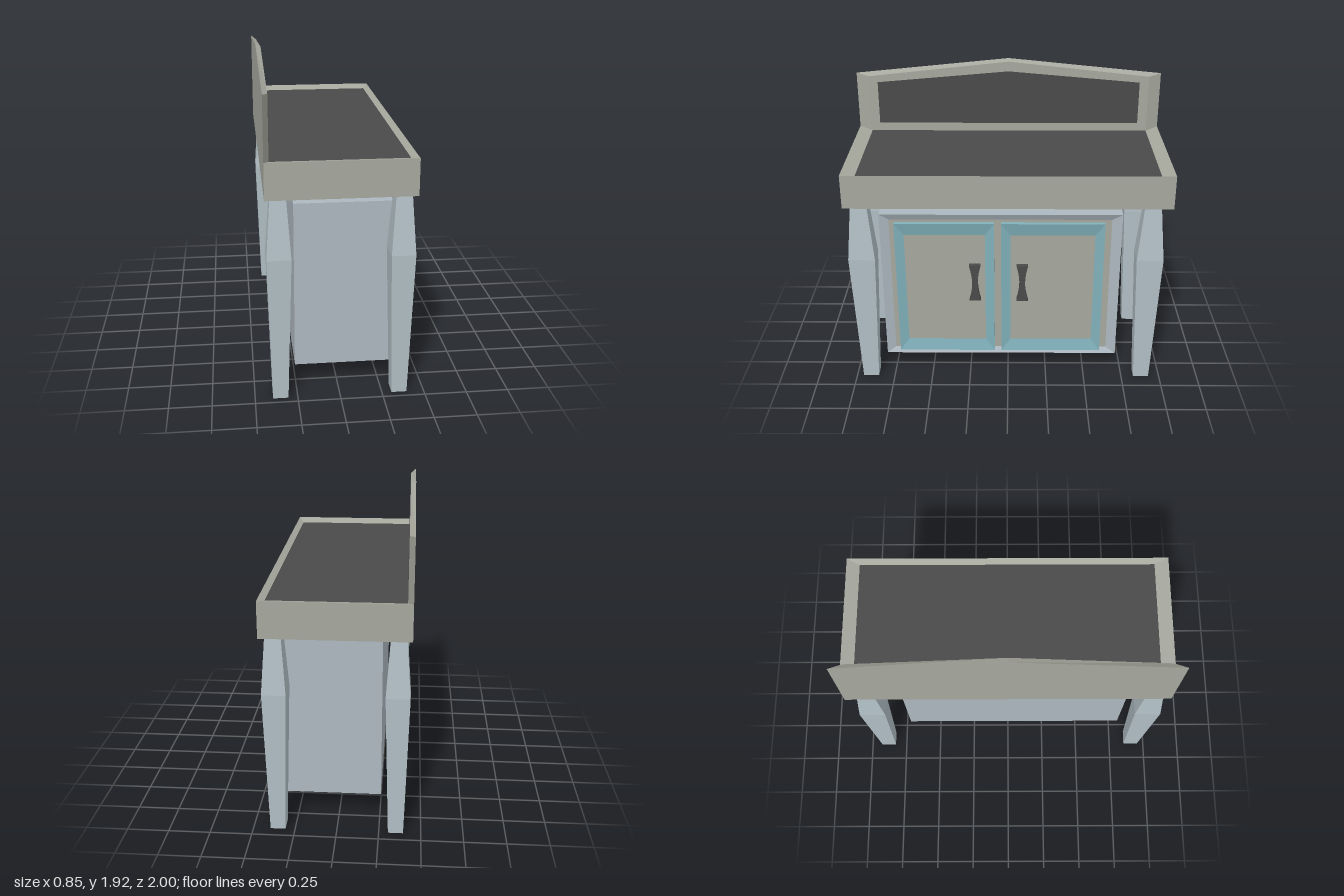
import * as THREE from 'three';

function mat(name, color) {
  const m = new THREE.MeshStandardMaterial({ color });
  m.name = name;
  return m;
}

// Rectangle as a counter-clockwise ring at depth w
const rect = (u0, u1, v0, v1, w) => [[u0, v0, w], [u1, v0, w], [u1, v1, w], [u0, v1, w]];

// Gabled outline as a counter-clockwise ring at depth w
const gable = (half, bottom, eave, peak, w) =>
  [[-half, bottom, w], [half, bottom, w], [half, eave, w], [0, peak, w], [-half, eave, w]];

// Skin between successive rings, with end caps; groups: 0 sides, 1 last cap, 2 first cap
function loft(rings) {
  const pos = [];
  const geo = new THREE.BufferGeometry();
  const tri = (a, b, c) => pos.push(...a, ...b, ...c);
  const cap = (r, flip) => {
    for (let i = 1; i < r.length - 1; i++) flip ? tri(r[0], r[i + 1], r[i]) : tri(r[0], r[i], r[i + 1]);
  };
  let start = 0;
  const close = (index) => {
    geo.addGroup(start, pos.length / 3 - start, index);
    start = pos.length / 3;
  };
  for (let k = 0; k < rings.length - 1; k++) {
    const a = rings[k], b = rings[k + 1];
    for (let i = 0; i < a.length; i++) {
      const j = (i + 1) % a.length;
      tri(a[i], a[j], b[j]);
      tri(a[i], b[j], b[i]);
    }
  }
  close(0);
  cap(rings[rings.length - 1], false);
  close(1);
  cap(rings[0], true);
  close(2);
  geo.setAttribute('position', new THREE.Float32BufferAttribute(pos, 3));
  geo.computeVertexNormals();
  return geo;
}

// Local depth axis turned to +x (u becomes -z) or to +y (v becomes -z)
const faceX = (g) => g.rotateY(Math.PI / 2);
const faceUp = (g) => g.rotateX(-Math.PI / 2);

export function createModel() {
  const model = new THREE.Group();
  model.name = 'washstand';

  const stone = mat('stone beige', 0xa6a79d);
  const dark = mat('charcoal', 0x4a4a4a);
  const under = mat('underside olive grey', 0x4c4d46);
  const legBlue = mat('pale blue grey', 0xb2c0c6);
  const bodyBlue = mat('cabinet blue grey', 0xadb8c0);
  const teal = mat('teal', 0x80b0ba);

  const add = (name, geo, material, parent = model) => {
    const m = new THREE.Mesh(geo, material);
    m.name = name;
    parent.add(m);
    return m;
  };

  // Thick top with a shallow sunken dark surface
  add('tableTop', faceUp(loft([
    rect(-0.425, 0.425, -1, 1, 1.24),
    rect(-0.425, 0.425, -1, 1, 1.455),
    rect(-0.395, 0.39, -0.915, 0.92, 1.435),
  ])), [stone, dark, under]);

  // Gabled backboard with chamfered edges and a dark inlay
  add('backboard', faceX(loft([
    gable(1, 1.45, 1.825, 1.925, -0.425),
    gable(0.92, 1.435, 1.81, 1.91, -0.393),
  ])), stone);
  add('backboardInlay', faceX(loft([
    gable(0.86, 1.49, 1.77, 1.845, -0.395),
    gable(0.86, 1.49, 1.77, 1.845, -0.39),
  ])), dark);

  // Four square legs, widest above the middle
  const legRing = (hx, hz, y) => rect(-hx, hx, -hz, hz, y);
  const legGeo = faceUp(loft([
    legRing(0.045, 0.05, 0),
    legRing(0.07, 0.083, 0.885),
    legRing(0.045, 0.05, 1.245),
  ]));
  for (const [side, x] of [['Left', 0.352], ['Right', -0.35]]) {
    for (const [end, z] of [['front', 0.906], ['back', -0.88]]) {
      add(`${end}${side}Leg`, legGeo, legBlue).position.set(x, 0, z);
    }
  }

  // Cabinet body with a bevelled recess for the doors
  add('cabinet', faceX(loft([
    rect(-0.8, 0.71, 0.13, 1.15, -0.255),
    rect(-0.8, 0.71, 0.13, 1.15, 0.32),
    rect(-0.743, 0.647, 0.167, 1.108, 0.3),
  ])), [bodyBlue, stone, bodyBlue]);

  // Waisted handle outline
  const outline = new THREE.Shape();
  outline.moveTo(-0.037, -0.127);
  outline.lineTo(0.037, -0.127);
  outline.quadraticCurveTo(-0.001, 0, 0.037, 0.127);
  outline.lineTo(-0.037, 0.127);
  outline.quadraticCurveTo(0.001, 0, -0.037, -0.127);
  const handleGeo = faceX(new THREE.ExtrudeGeometry(outline, { depth: 0.035, bevelEnabled: false, curveSegments: 6 }));

  // Pair of doors: teal bevelled frame around a sunken panel, plus a handle
  const doors = [
    { name: 'nearDoor', u0: -0.71, u1: -0.087, handleZ: 0.21 },
    { name: 'farDoor', u0: -0.043, u1: 0.604, handleZ: -0.091 },
  ];
  for (const { name, u0, u1, handleZ } of doors) {
    const door = new THREE.Group();
    door.name = name;
    model.add(door);
    add(name + 'Frame', faceX(loft([
      rect(u0, u1, 0.157, 1.09, 0.295),
      rect(u0, u1, 0.157, 1.09, 0.328),
      rect(u0 + 0.058, u1 - 0.058, 0.237, 1.005, 0.312),
    ])), [teal, stone, teal], door);
    add(name + 'Handle', handleGeo, dark, door).position.set(0.31, 0.675, handleZ);
  }

  return model;
}
